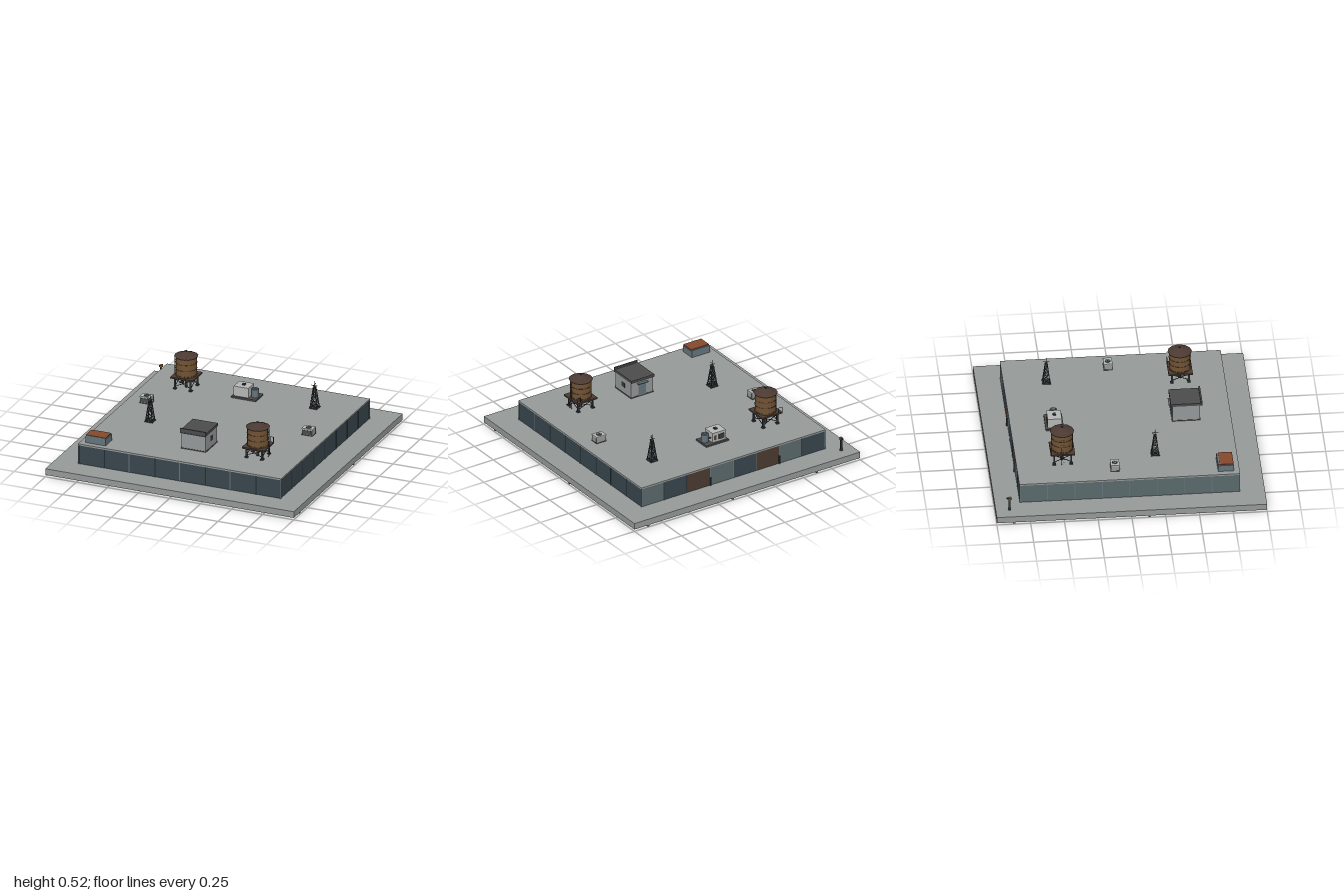
import * as THREE from 'three';

const mat = (name, color, side = THREE.FrontSide) => {
  const m = new THREE.MeshStandardMaterial({ color, side });
  m.name = name;
  return m;
};

export function createModel() {
  const concrete = mat('concrete', 0x959998), navy = mat('navy wall', 0x38454d);
  const steel = mat('steel blue', 0x65747c), sage = mat('grey green panel', 0x5a696b);
  const wood = mat('tank wood', 0x715333), roofBrown = mat('roof brown', 0x4b3a32);
  const rust = mat('rust', 0x84492b), charcoal = mat('charcoal', 0x4c4c4d);
  const iron = mat('dark iron', 0x343a3d), pale = mat('pale grey', 0xb4b7b6);

  const model = new THREE.Group();
  model.name = 'rooftopWarehouse';

  const add = (parent, name, geo, material, x = 0, y = 0, z = 0) => {
    const m = new THREE.Mesh(geo, material);
    m.name = name;
    m.position.set(x, y, z);
    parent.add(m);
    return m;
  };
  // box from its lower and upper limits
  const box = (parent, name, material, x0, x1, y0, y1, z0, z1) =>
    add(parent, name, new THREE.BoxGeometry(x1 - x0, y1 - y0, z1 - z0), material,
      (x0 + x1) / 2, (y0 + y1) / 2, (z0 + z1) / 2);
  const cyl = (parent, name, material, r0, r1, y0, y1, x, z, sides = 16) =>
    add(parent, name, new THREE.CylinderGeometry(r1, r0, y1 - y0, sides), material, x, (y0 + y1) / 2, z);
  // thin square beam between two points
  const beam = (parent, name, material, a, b, w) => {
    const p = new THREE.Vector3(...a), q = new THREE.Vector3(...b);
    const m = add(parent, name, new THREE.BoxGeometry(w, p.distanceTo(q), w), material);
    m.position.copy(p).add(q).multiplyScalar(0.5);
    m.quaternion.setFromUnitVectors(new THREE.Vector3(0, 1, 0), q.sub(p).normalize());
  };
  const group = (name, x, y, z) => {
    const g = new THREE.Group();
    g.name = name;
    g.position.set(x, y, z);
    model.add(g);
    return g;
  };
  const corners = [[-1, -1], [1, -1], [1, 1], [-1, 1]];

  // ground slab and the small drain stubs under its edges
  box(model, 'groundSlab', concrete, -1, 1, 0.016, 0.065, -1, 1);
  const drains = [[0.87, -0.985], [0.12, -0.985], [-0.625, -0.985],
    [0.985, -0.12], [0.985, 0.87], [-0.985, 0.13], [-0.985, -0.87]];
  for (const [x, z] of drains) box(model, 'drainStub', rust, x - 0.008, x + 0.008, 0, 0.02, z - 0.008, z + 0.008);

  // warehouse: core, wall panels with pilasters, roof
  const S = 0.812, ROOF = 0.225, panel = 2 * S / 8;
  box(model, 'warehouseCore', navy, -S, S, 0.065, 0.215, -S, S);
  box(model, 'roofSlab', concrete, -0.817, 0.817, 0.213, ROOF, -0.817, 0.817);
  box(model, 'leftSidePanels', sage, -S - 0.002, -S, 0.065, 0.213, -S, S);
  const backColours = [navy, sage, roofBrown, navy, sage, roofBrown, navy, sage];
  backColours.forEach((c, i) => {
    const x = -S + i * panel;
    box(model, c === roofBrown ? 'loadingDoor' : 'backPanel', c, x, x + panel, 0.065, 0.213, -S - 0.002, -S);
    if (c === roofBrown) box(model, 'doorPost', iron, x - 0.004, x + 0.004, 0.065, 0.13, -S - 0.012, -S);
  });
  for (let i = 0; i <= 8; i++) {
    const t = -S + i * panel, w = 0.003;
    for (const s of [-1, 1]) {
      box(model, 'pilaster', steel, t - w, t + w, 0.065, 0.213, s * S - 0.004, s * S + 0.004);
      box(model, 'pilaster', steel, s * S - 0.004, s * S + 0.004, 0.065, 0.213, t - w, t + w);
    }
  }

  // water tanks on braced stands
  const waterTank = (x, z, legH, bodyH, side) => {
    const g = group('waterTank', x, ROOF, z);
    const p = 0.09, l = 0.063, base = legH + 0.01, top = base + bodyH;
    box(g, 'platform', roofBrown, -p, p, legH - 0.002, base, -p, p);
    corners.forEach(([a, b], i) => {
      const [c, d] = corners[(i + 1) % 4];
      box(g, 'leg', iron, a * l - 0.006, a * l + 0.006, 0, legH, b * l - 0.006, b * l + 0.006);
      box(g, 'foot', iron, a * l - 0.012, a * l + 0.012, 0, 0.008, b * l - 0.012, b * l + 0.012);
      beam(g, 'brace', iron, [a * l, 0.02, b * l], [c * l, legH - 0.01, d * l], 0.004);
      beam(g, 'brace', iron, [c * l, 0.02, d * l], [a * l, legH - 0.01, b * l], 0.004);
    });
    cyl(g, 'tankBarrel', wood, 0.08, 0.08, base, top, 0, 0, 16);
    for (const f of [0.06, 0.36, 0.66, 0.94])
      cyl(g, 'tankHoop', roofBrown, 0.082, 0.082, base + f * bodyH - 0.002, base + f * bodyH + 0.002, 0, 0, 16);
    cyl(g, 'tankRoof', roofBrown, 0.09, 0.008, top - 0.002, top + 0.032, 0, 0, 12);
    cyl(g, 'roofCap', iron, 0.008, 0.006, top + 0.03, top + 0.038, 0, 0, 8);
    cyl(g, 'downPipe', iron, 0.01, 0.01, 0, legH, 0, 0, 8);
    // ladder up the barrel
    for (const dz of [-0.011, 0.011])
      beam(g, 'ladderRail', iron, [side * 0.088, 0.01, dz], [side * 0.086, top - 0.01, dz], 0.003);
    for (let y = 0.03; y < top - 0.02; y += 0.022)
      beam(g, 'ladderRung', iron, [side * 0.087, y, -0.011], [side * 0.087, y, 0.011], 0.002);
    // short guard rail on the platform corner
    for (const dx of [0.06, 0.088]) beam(g, 'guardPost', iron, [side * dx, base, -0.087], [side * dx, base + 0.04, -0.087], 0.003);
    beam(g, 'guardRail', iron, [side * 0.06, base + 0.04, -0.087], [side * 0.088, base + 0.04, -0.087], 0.003);
  };
  waterTank(-0.512, -0.475, 0.09, 0.155, -1);
  waterTank(0.485, 0.485, 0.078, 0.147, 1);

  // lattice radio masts
  const mast = (x, z) => {
    const g = group('radioMast', x, ROOF, z);
    const r = (y) => 0.027 - 0.02 * y / 0.17;
    box(g, 'mastBase', iron, -0.032, 0.032, 0, 0.006, -0.032, 0.032);
    corners.forEach(([a, b], i) => {
      const [c, d] = corners[(i + 1) % 4];
      beam(g, 'mastLeg', iron, [a * r(0), 0, b * r(0)], [a * r(0.17), 0.17, b * r(0.17)], 0.005);
      for (let k = 0; k < 4; k++) {
        const y = k * 0.042, h = y + 0.042, m = r(y), n = r(h);
        beam(g, 'mastBrace', iron, [a * m, y, b * m], [c * n, h, d * n], 0.003);
        beam(g, 'mastBrace', iron, [c * m, y, d * m], [a * n, h, b * n], 0.003);
        beam(g, 'mastTie', steel, [a * n, h, b * n], [c * n, h, d * n], 0.003);
      }
    });
    beam(g, 'antenna', iron, [0, 0.165, 0], [0, 0.212, 0], 0.004);
    beam(g, 'crossArm', iron, [-0.024, 0.178, 0], [0.024, 0.178, 0], 0.003);
    beam(g, 'crossArm', iron, [0, 0.185, -0.024], [0, 0.185, 0.024], 0.003);
    box(g, 'beacon', rust, -0.005, 0.005, 0.168, 0.177, -0.005, 0.005);
  };
  mast(0.51, -0.5);
  mast(-0.5, 0.215);

  // stair house
  const shed = group('stairHouse', 0.012, ROOF, 0);
  box(shed, 'shedWalls', concrete, -0.097, 0.097, 0, 0.132, 0.38, 0.585);
  box(shed, 'shedPlinth', charcoal, -0.1, 0.1, 0, 0.006, 0.377, 0.588);
  box(shed, 'shedRoof', charcoal, -0.102, 0.102, 0.13, 0.15, 0.368, 0.6);
  box(shed, 'roofFascia', charcoal, -0.102, 0.102, 0.148, 0.165, 0.59, 0.602);
  box(shed, 'fasciaStrip', steel, -0.102, 0.102, 0.128, 0.132, 0.59, 0.604);
  box(shed, 'shedDoor', steel, -0.033, 0.033, 0.005, 0.1, 0.376, 0.382);
  box(shed, 'doorAwning', steel, -0.043, 0.043, 0.106, 0.113, 0.358, 0.382);
  box(shed, 'sideWindow', iron, 0.096, 0.1, 0.055, 0.09, 0.46, 0.5);

  // large cooling plant
  const plant = group('coolingPlant', 0, ROOF, 0);
  box(plant, 'plantBase', charcoal, -0.13, 0.07, 0, 0.013, -0.56, -0.425);
  box(plant, 'plantHousing', pale, -0.115, 0.003, 0.013, 0.09, -0.545, -0.44);
  box(plant, 'plantVent', iron, -0.066, -0.044, 0.09, 0.1, -0.503, -0.481);
  box(plant, 'plantWarning', rust, -0.03, -0.015, 0.03, 0.065, -0.548, -0.544);
  box(plant, 'plantGrille', iron, -0.1, -0.05, 0.028, 0.07, -0.548, -0.544);
  cyl(plant, 'plantCylinder', steel, 0.028, 0.028, 0.013, 0.075, 0.036, -0.49);
  cyl(plant, 'cylinderCap', sage, 0.02, 0.016, 0.075, 0.082, 0.036, -0.49);
  beam(plant, 'plantPipe', iron, [0, 0.045, -0.52], [0.036, 0.045, -0.5], 0.01);

  // small air units with a roof fan
  for (const [x, z] of [[-0.665, -0.098], [0.668, -0.032]]) {
    const g = group('airUnit', x, ROOF, z);
    box(g, 'unitBody', concrete, -0.041, 0.041, 0.004, 0.045, -0.031, 0.031);
    box(g, 'unitFoot', iron, -0.043, 0.043, 0, 0.005, -0.033, 0.033);
    box(g, 'unitLid', pale, -0.043, 0.043, 0.045, 0.054, -0.033, 0.033);
    cyl(g, 'fanRing', iron, 0.021, 0.021, 0.054, 0.057, 0, 0);
    cyl(g, 'fanDisc', steel, 0.016, 0.016, 0.057, 0.0585, 0, 0);
    cyl(g, 'fanHub', iron, 0.006, 0.006, 0.0585, 0.06, 0, 0, 8);
    box(g, 'frontGrille', charcoal, -0.035, 0.035, 0.01, 0.04, 0.031, 0.034);
    box(g, 'rustPatch', rust, 0.041, 0.0435, 0.008, 0.042, -0.031, -0.02);
  }

  // chamfered bin with a rusty lid
  const bin = group('storageBin', -0.695, ROOF, 0.715);
  const outline = new THREE.Shape([[-0.08, 0], [0.08, 0], [0.08, 0.05], [0.072, 0.058], [-0.072, 0.058], [-0.08, 0.05]]
    .map(([x, y]) => new THREE.Vector2(x, y)));
  add(bin, 'binBody', new THREE.ExtrudeGeometry(outline, { depth: 0.116, bevelEnabled: false }), steel, 0, 0, -0.058);
  box(bin, 'binLid', rust, -0.079, 0.079, 0.056, 0.062, -0.046, 0.057);

  // yard lamp
  const lamp = group('yardLamp', -0.9, 0.065, -0.898);
  cyl(lamp, 'lampPost', iron, 0.008, 0.008, 0, 0.1, 0, 0, 8);
  cyl(lamp, 'lampFoot', iron, 0.012, 0.012, 0, 0.006, 0, 0, 8);
  box(lamp, 'lampArm', iron, -0.008, 0.008, 0.093, 0.103, -0.02, 0.008);
  cyl(lamp, 'lampCap', wood, 0.014, 0.012, 0.09, 0.105, 0, 0.003, 10);

  return model;
}
